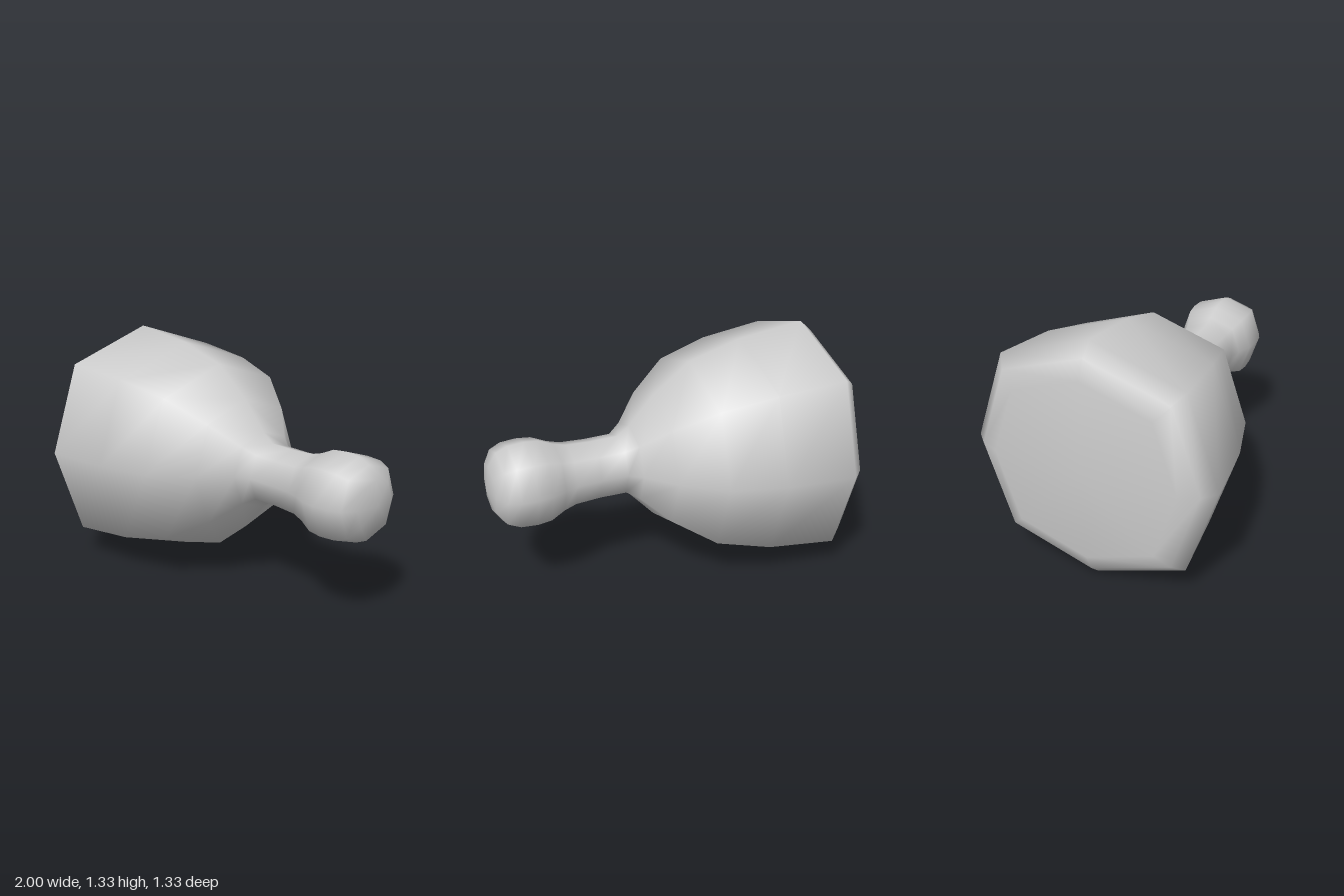
import * as THREE from 'three';
import { mergeVertices } from 'three/addons/utils/BufferGeometryUtils.js';

const AXIS_HEIGHT = 0.67;

// [position along x, radius], from the broad base to the tip of the handle
const PROFILE = [
  [-1, 0], [-0.97, 0.5], [-0.925, 0.6], [-0.855, 0.667], // base cap
  [-0.47, 0.62], [-0.17, 0.535], [0.05, 0.37], [0.19, 0.215], // bell
  [0.26, 0.165], [0.41, 0.163], [0.55, 0.17], [0.62, 0.19], // neck
  [0.7, 0.226], [0.78, 0.234], [0.87, 0.228], [0.935, 0.2], [0.98, 0.13], [1, 0], // knob
];

// Eight-sided body of revolution whose diagonal corners bulge slightly
function bulgedLathe(profile) {
  let geometry = new THREE.LatheGeometry(profile.map(([x, r]) => new THREE.Vector2(r, x)), 8);
  const p = geometry.attributes.position;
  for (let i = 0; i < p.count; i++) {
    const x = p.getX(i), z = p.getZ(i);
    const bulge = Math.min(Math.abs(x), Math.abs(z)) > 1e-4 ? 1.058 : 1;
    p.setX(i, x * bulge);
    p.setZ(i, z * bulge);
  }
  // Weld the seam and poles for smooth shading
  geometry.deleteAttribute('uv');
  geometry.deleteAttribute('normal');
  geometry = mergeVertices(geometry, 1e-4);
  geometry.computeVertexNormals();
  return geometry.rotateZ(-Math.PI / 2);
}

export function createModel() {
  const group = new THREE.Group();
  group.name = 'bellWithHandle';

  // Bell and handle form one continuous surface
  const body = new THREE.Mesh(
    bulgedLathe(PROFILE),
    new THREE.MeshStandardMaterial({ color: 0xcccccc })
  );
  body.name = 'bellAndHandle';
  body.position.y = AXIS_HEIGHT;
  group.add(body);
  return group;
}
